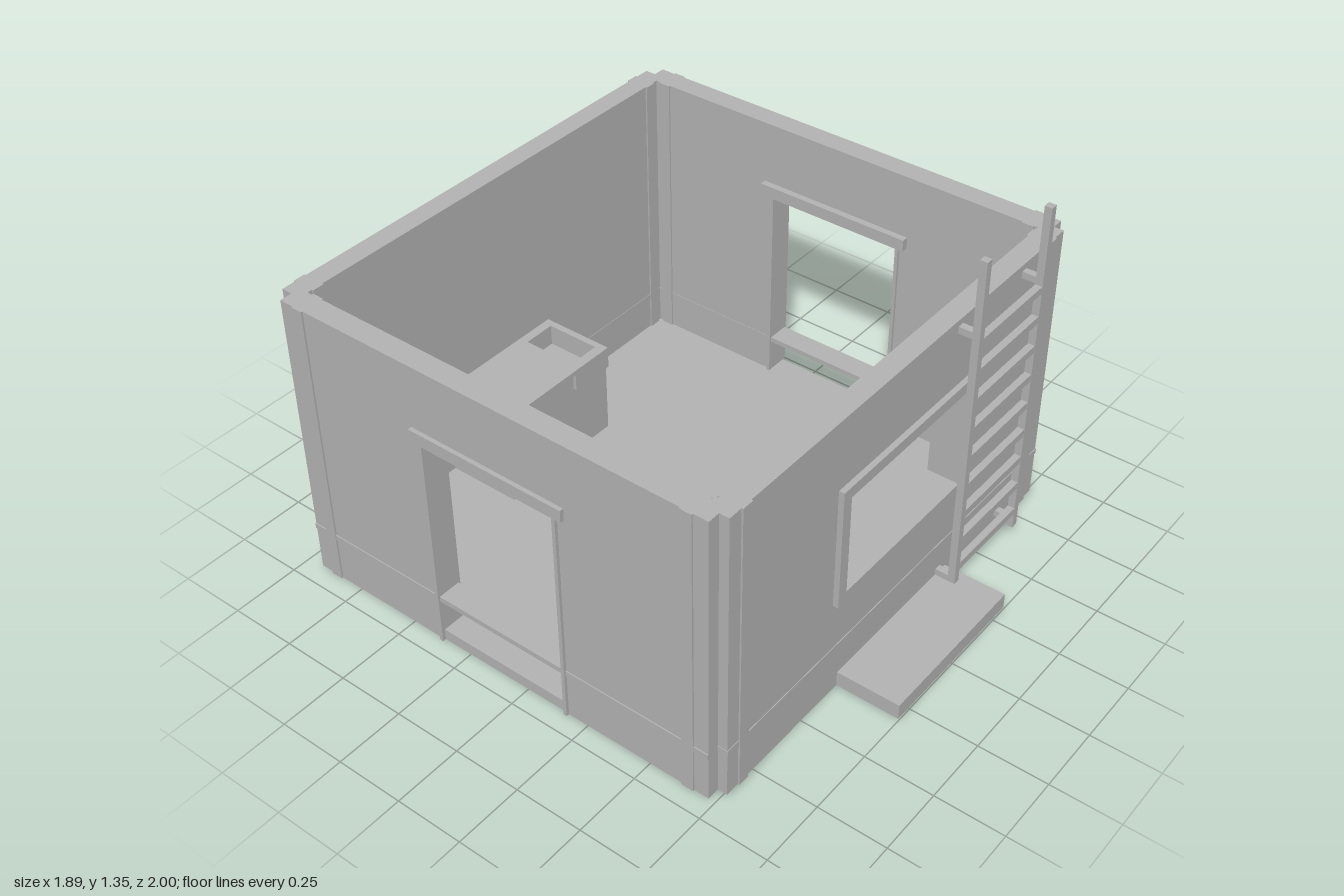
import * as THREE from 'three';

export function createModel() {
  const group = new THREE.Group();
  group.name = 'cabin';
  const grey = new THREE.MeshStandardMaterial({ color: 0xb3b3b3 });
  grey.name = 'plain grey';

  const add = (name, geometry) => {
    const mesh = new THREE.Mesh(geometry, grey);
    mesh.name = name;
    group.add(mesh);
    return mesh;
  };
  // Box given by its limits on each axis
  const box = (name, x0, x1, y0, y1, z0, z1) => {
    const g = new THREE.BoxGeometry(x1 - x0, y1 - y0, z1 - z0);
    g.translate((x0 + x1) / 2, (y0 + y1) / 2, (z0 + z1) / 2);
    return add(name, g);
  };
  const polygon = (pts) => new THREE.Shape(pts.map(([x, y]) => new THREE.Vector2(x, y)));
  const rect = (x0, x1, y0, y1) => polygon([[x0, y0], [x1, y0], [x1, y1], [x0, y1]]);
  const extrude = (shape, depth) => new THREE.ExtrudeGeometry(shape, { depth, bevelEnabled: false });

  const BOTTOM = 0.01, TOP = 1.11;

  // Base plate with cut corners, and the floor
  const base = extrude(polygon([
    [-0.85, -0.73], [0.85, -0.73], [0.89, -0.69], [0.89, 0.89],
    [0.85, 0.93], [-0.85, 0.93], [-0.89, 0.89], [-0.89, -0.69],
  ]), 0.012);
  base.rotateX(-Math.PI / 2);
  add('basePlate', base);
  box('floor', -0.86, 0.86, 0.01, 0.053, -0.9, 0.7);

  // Back wall, and front wall with its window opening
  box('backWall', -0.885, 0.885, BOTTOM, TOP, -0.97, -0.895);
  const frontShape = rect(-0.885, 0.885, BOTTOM, TOP);
  frontShape.holes.push(rect(-0.32, 0.32, 0.43, 0.81));
  add('frontWall', extrude(frontShape, 0.075)).position.z = 0.69;

  // Window frame
  const frame = rect(-0.36, 0.36, 0.39, 0.85);
  frame.holes.push(rect(-0.319, 0.319, 0.431, 0.809));
  add('windowFrame', extrude(frame, 0.12)).position.z = 0.665;

  // Side walls with doorways
  const sideShape = polygon([
    [-0.93, BOTTOM], [-0.36, BOTTOM], [-0.36, 0.83], [0.17, 0.83],
    [0.17, BOTTOM], [0.73, BOTTOM], [0.73, TOP], [-0.93, TOP],
  ]);
  const mirrored = (name, s, x0, x1, y0, y1, z0, z1) =>
    s > 0 ? box(name, x0, x1, y0, y1, z0, z1) : box(name, -x1, -x0, y0, y1, z0, z1);

  for (const s of [1, -1]) {
    const wall = extrude(sideShape, 0.08);
    wall.rotateY(-Math.PI / 2);
    add('sideWall', wall).position.x = s > 0 ? 0.93 : -0.85;

    // Door surround and sill
    mirrored('doorLintel', s, 0.825, 0.945, 0.83, 0.875, -0.4, 0.205);
    mirrored('doorJamb', s, 0.84, 0.941, BOTTOM, 0.83, 0.165, 0.178);
    mirrored('doorJamb', s, 0.84, 0.941, BOTTOM, 0.83, -0.368, -0.355);
    mirrored('doorSill', s, 0.85, 0.928, BOTTOM, 0.053, -0.36, 0.17);

    // Belt rail running through the wall and across the doorway
    mirrored('sideBelt', s, 0.848, 0.934, 0.183, 0.203, -0.93, 0.73);

    // Pilasters at the corners, standing proud inside and outside
    for (const [z0, z1] of [[0.684, 0.771], [-0.976, -0.889]])
      mirrored('endPilaster', s, 0.788, 0.832, BOTTOM, TOP, z0, z1);
    for (const [z0, z1] of [[0.632, 0.676], [-0.876, -0.832]])
      mirrored('sidePilaster', s, 0.844, 0.936, BOTTOM, TOP, z0, z1);

    // Downpipe on the back
    mirrored('downpipe', s, 0.81, 0.84, 0.09, 1.04, -1, -0.965);
  }
  box('frontBelt', -0.887, 0.887, 0.183, 0.203, 0.688, 0.768);
  box('backBelt', -0.887, 0.887, 0.183, 0.203, -0.973, -0.893);

  // Front step
  box('step', -0.315, 0.315, 0.01, 0.068, 0.76, 1);

  // Ladder: rails, wall brackets and rungs
  for (const x of [0.255, 0.63]) {
    box('ladderRail', x, x + 0.026, 0.055, 1.35, 0.814, 0.841);
    for (const y of [0.067, 1.062])
      box('ladderBracket', x, x + 0.026, y, y + 0.025, 0.76, 0.816);
  }
  for (let i = 0; i < 9; i++) {
    const y = 0.114 + i * 0.1148;
    box('ladderRung', 0.28, 0.631, y, y + 0.028, 0.815, 0.84);
  }

  // Counter with sink against the back wall
  box('counterBody', -0.305, 0.03, 0.05, 0.39, -0.895, -0.62);
  box('sinkCabinet', 0.03, 0.205, 0.05, 0.33, -0.895, -0.62);
  box('counterTop', -0.275, 0.035, 0.39, 0.41, -0.895, -0.612);
  box('counterEnd', -0.315, -0.275, 0.05, 0.415, -0.895, -0.612);
  const sink = rect(0.035, 0.21, 0.612, 0.895);
  sink.holes.push(rect(0.06, 0.185, 0.65, 0.86));
  const sinkTop = extrude(sink, 0.085);
  sinkTop.rotateX(-Math.PI / 2);
  add('sinkTop', sinkTop).position.y = 0.325;

  return group;
}
